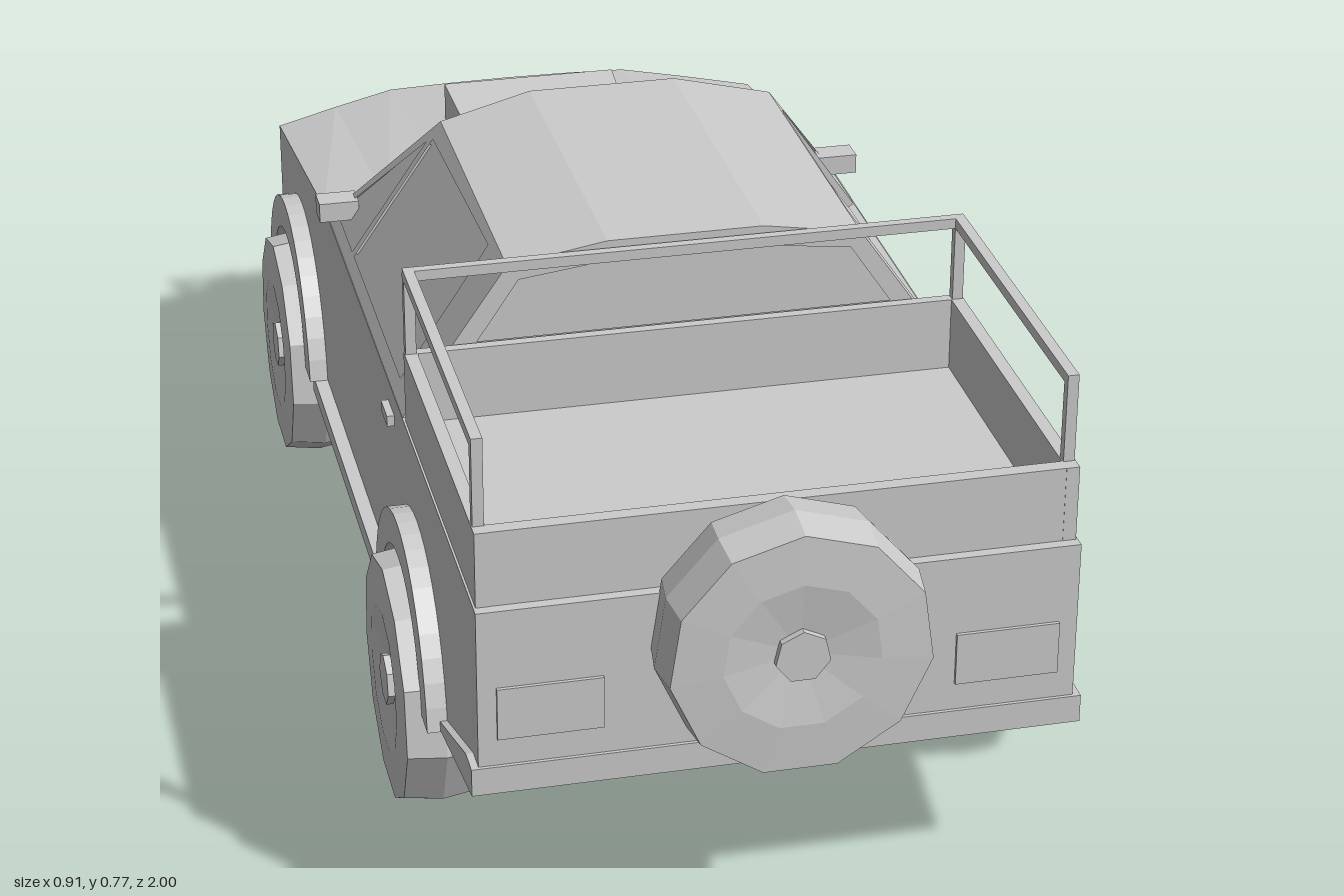
import * as THREE from 'three';

const mat = new THREE.MeshStandardMaterial({ color: 0xcccccc, flatShading: true });
const thin = new THREE.MeshStandardMaterial({ color: 0xcccccc, flatShading: true, side: THREE.DoubleSide });

const WHEEL_Z = [0.457, -0.607];
const AXLE_Y = 0.177;

const points = (list) => list.map((p) => new THREE.Vector2(...p));

export function createModel() {
  const model = new THREE.Group();
  const add = (name, geo, x = 0, y = 0, z = 0, m = mat) => {
    const mesh = new THREE.Mesh(geo, m);
    mesh.name = name;
    mesh.position.set(x, y, z);
    model.add(mesh);
    return mesh;
  };
  const box = (name, w, h, d, x, y, z) => add(name, new THREE.BoxGeometry(w, h, d), x, y, z);
  // Extrude a (z, y) side profile across the width, centred on x = 0
  const sideExtrude = (shape, width, steps = 1) => new THREE.ExtrudeGeometry(shape,
    { depth: width, steps, bevelEnabled: false, curveSegments: 10 })
    .translate(0, 0, -width / 2).rotateY(-Math.PI / 2);
  // Flat-faced surface from polygons given as lists of [x, y, z] corners
  const polys = (faces) => {
    const p = [];
    for (const f of faces) {
      for (let i = 1; i < f.length - 1; i++) p.push(...f[0], ...f[i], ...f[i + 1]);
    }
    const g = new THREE.BufferGeometry();
    g.setAttribute('position', new THREE.Float32BufferAttribute(p, 3));
    g.computeVertexNormals();
    return g;
  };

  // Lower body with wheel arches cut right through
  const body = new THREE.Shape();
  body.moveTo(0.895, 0.528);
  body.lineTo(0.895, 0.262);
  body.lineTo(0.65, 0.215);
  for (const z of WHEEL_Z) body.absarc(z, 0.18, 0.19, 0.185, Math.PI - 0.185, false);
  body.lineTo(-0.965, 0.215);
  body.lineTo(-0.935, 0.47);
  body.lineTo(-0.35, 0.53);
  const bodyGeo = sideExtrude(body, 0.8, 8);
  const bp = bodyGeo.attributes.position;
  // Sweep the nose back toward its corners and crown the hood
  const sweep = (x, y) => Math.max(0, Math.abs(x) - 0.2) * (0.41 + (0.47 - y) * 0.6);
  for (let i = 0; i < bp.count; i++) {
    const [x, y, z] = [bp.getX(i), bp.getY(i), bp.getZ(i)];
    if (z > -0.82) continue;
    bp.setZ(i, z + sweep(x, y));
    if (y > 0.46) bp.setY(i, y - 0.1 * x * x);
  }
  bodyGeo.computeVertexNormals();
  add('body', bodyGeo);
  const noseZ = (x, y) => -0.935 - (0.47 - y) * 0.118 + sweep(x, y);

  // Floor pan whose edges stand out as side steps
  box('floorPan', 0.84, 0.028, 0.66, 0, 0.2, -0.08);

  // Cab shell: rear wall, roof and windscreen
  const ring = [[-0.4, 0.528], [-0.25, 0.745], [-0.11, 0.768], [0.11, 0.768], [0.25, 0.745], [0.4, 0.528]];
  const rear = ring.map(([x, y]) => [x, y, 0.355]);
  const frontZ = [-0.325, -0.15, -0.18, -0.18, -0.15, -0.325];
  const front = ring.map(([x, y], i) => [x, y, frontZ[i]]);
  const base = [front[0], [-0.19, 0.53, -0.36], [0.19, 0.53, -0.36], front[5]];
  const cab = [rear.slice().reverse()];
  for (let i = 1; i < 4; i++) cab.push([rear[i], rear[i + 1], front[i + 1], front[i]]);
  for (let i = 0; i < 3; i++) cab.push([base[i], front[i + 1], front[i + 2], base[i + 1]]);
  add('cab', polys(cab), 0, 0, 0, thin);
  add('rearWindow', polys([[[-0.295, 0.636], [0.295, 0.636], [0.235, 0.725], [0.1, 0.742],
    [-0.1, 0.742], [-0.235, 0.725]].map(([x, y]) => [x, y, 0.359])]), 0, 0, 0, thin);

  // Sloping cab sides: framed openings with glass set back, drawn as (z, distance up the slope)
  const outline = points([[0.355, 0], [-0.325, 0], [-0.15, 0.2638], [0.355, 0.2638]]);
  const frame = new THREE.Shape(outline);
  frame.holes.push(
    new THREE.Path(points([[0.27, 0.022], [-0.135, 0.022], [-0.135, 0.238], [0.26, 0.25]])),
    new THREE.Path(points([[-0.152, 0.022], [-0.295, 0.022], [-0.152, 0.225]])));
  for (const s of [-1, 1]) {
    const along = new THREE.Vector3(0, 0, 1);
    const up = new THREE.Vector3(-s * 0.15, 0.217, 0).normalize();
    const toSide = new THREE.Matrix4().makeBasis(along, up, along.clone().cross(up)).setPosition(s * 0.4, 0.528, 0);
    const frameGeo = new THREE.ExtrudeGeometry(frame, { depth: 0.015, bevelEnabled: false });
    add('windowFrame', frameGeo.translate(0, 0, s > 0 ? 0 : -0.015).applyMatrix4(toSide));
    const glass = new THREE.ShapeGeometry(new THREE.Shape(outline)).translate(0, 0, s * 0.01);
    add('sideGlass', glass.applyMatrix4(toSide), 0, 0, 0, thin);
  }

  // Hood scoop, rising toward the front
  const scoopGeo = sideExtrude(new THREE.Shape(points(
    [[-0.52, 0.5], [-0.52, 0.529], [-0.745, 0.549], [-0.745, 0.48]])), 0.28);
  const sp = scoopGeo.attributes.position;
  for (let i = 0; i < sp.count; i++) if (sp.getZ(i) > -0.6) sp.setX(i, sp.getX(i) * 0.92);
  add('hoodScoop', scoopGeo);

  // Cargo bed walls
  for (const s of [-1, 1]) box('bedSide', 0.018, 0.11, 0.515, s * 0.388, 0.58, 0.623);
  box('bedFrontWall', 0.76, 0.11, 0.015, 0, 0.58, 0.367);
  box('tailgate', 0.76, 0.11, 0.02, 0, 0.58, 0.87);

  // Bed rails
  for (const s of [-1, 1]) {
    box('sideRail', 0.015, 0.015, 0.5, s * 0.388, 0.752, 0.612);
    for (const z of [0.367, 0.855]) box('railPost', 0.015, 0.125, 0.014, s * 0.388, 0.69, z);
  }
  box('crossRail', 0.79, 0.015, 0.014, 0, 0.752, 0.367);

  // Wheels and spare: eleven-sided tyre with a dished face
  const half = [[0, 0.042], [0.105, 0.057], [0.174, 0.054]];
  const profile = points([...half.map(([r, a]) => [r, -a]), [0.182, 0], ...half.slice().reverse()]);
  const wheel = new THREE.LatheGeometry(profile, 11).rotateX(-Math.PI / 2);
  const hub = new THREE.CylinderGeometry(0.037, 0.037, 0.114, 7).rotateX(-Math.PI / 2);
  const addWheel = (name, x, y, z, turn) => {
    add(name, wheel, x, y, z).rotation.y = turn;
    add(name + 'Hub', hub, x, y, z).rotation.y = turn;
  };
  addWheel('spareWheel', 0, 0.473, 0.943, 0);

  // Flared arch trim following each wheel
  const flare = new THREE.Shape();
  flare.absarc(0, 0, 0.242, 0.14, Math.PI - 0.14, false);
  flare.absarc(0, 0, 0.19, Math.PI - 0.185, 0.185, true);
  const flareGeo = sideExtrude(flare, 0.04);
  for (const z of WHEEL_Z) {
    add('axle', new THREE.CylinderGeometry(0.033, 0.033, 0.7, 6).rotateZ(Math.PI / 2), 0, AXLE_Y, z);
    for (const s of [-1, 1]) {
      addWheel('wheel', s * 0.396, AXLE_Y, z, s * Math.PI / 2);
      add('wheelFlare', flareGeo, s * 0.408, 0.18, z).scale.z = z < 0 ? 0.92 : 0.88;
    }
  }

  for (const s of [-1, 1]) {
    box('mirror', 0.06, 0.03, 0.04, s * 0.39, 0.565, -0.275);
    box('doorHandle', 0.015, 0.016, 0.05, s * 0.403, 0.488, 0.26);
    box('tailLamp', 0.14, 0.075, 0.008, s * 0.305, 0.378, 0.896);
    box('bumperLamp', 0.08, 0.02, 0.01, s * 0.32, 0.2, -0.943).rotation.y = -s * 0.312;
    // Lamps on the swept nose corners
    for (const [name, y, h] of [['upperLamp', 0.415, 0.045], ['headlamp', 0.335, 0.07]]) {
      const turn = Math.atan(sweep(0.4, y) / 0.2);
      box(name, 0.17, h, 0.02, s * 0.3, y, noseZ(0.3, y)).rotation.y = -s * turn;
    }
  }

  // Rear bumper wrapping under the tail
  add('rearBumper', sideExtrude(new THREE.Shape(points(
    [[0.9, 0.3], [0.9, 0.26], [0.655, 0.213], [0.655, 0.225], [0.86, 0.3]])), 0.82));

  // Grille slats and uprights
  box('grilleTop', 0.4, 0.02, 0.02, 0, 0.43, noseZ(0, 0.43));
  for (let i = 0; i < 4; i++) {
    const y = 0.305 + i * 0.028;
    box('grilleSlat', 0.4, 0.012, 0.016, 0, y, noseZ(0, y));
  }
  for (let i = -2; i <= 2; i++) box('grilleUpright', 0.012, 0.1, 0.02, i * 0.095, 0.347, noseZ(0, 0.347));

  // Front bumper with swept corners
  const plan = [[-0.41, -0.8], [-0.41, -0.915], [-0.2, -0.983], [0.2, -0.983], [0.41, -0.915], [0.41, -0.8]];
  add('frontBumper', new THREE.ExtrudeGeometry(new THREE.Shape(points(plan)),
    { depth: 0.095, bevelEnabled: false }).rotateX(Math.PI / 2), 0, 0.24, 0);

  // Bull bar
  for (const s of [-1, 1]) {
    box('bullBarPost', 0.014, 0.27, 0.014, s * 0.25, 0.257, -0.99);
    box('bullBarFoot', 0.014, 0.014, 0.06, s * 0.25, 0.128, -0.967);
    box('bullBarTopArm', 0.014, 0.014, 0.06, s * 0.25, 0.385, -0.963);
    box('bullBarEnd', 0.012, 0.1, 0.012, s * 0.354, 0.335, -0.98);
  }
  for (const y of [0.385, 0.285]) box('bullBarCrossTube', 0.72, 0.012, 0.012, 0, y, -0.982);

  return model;
}
